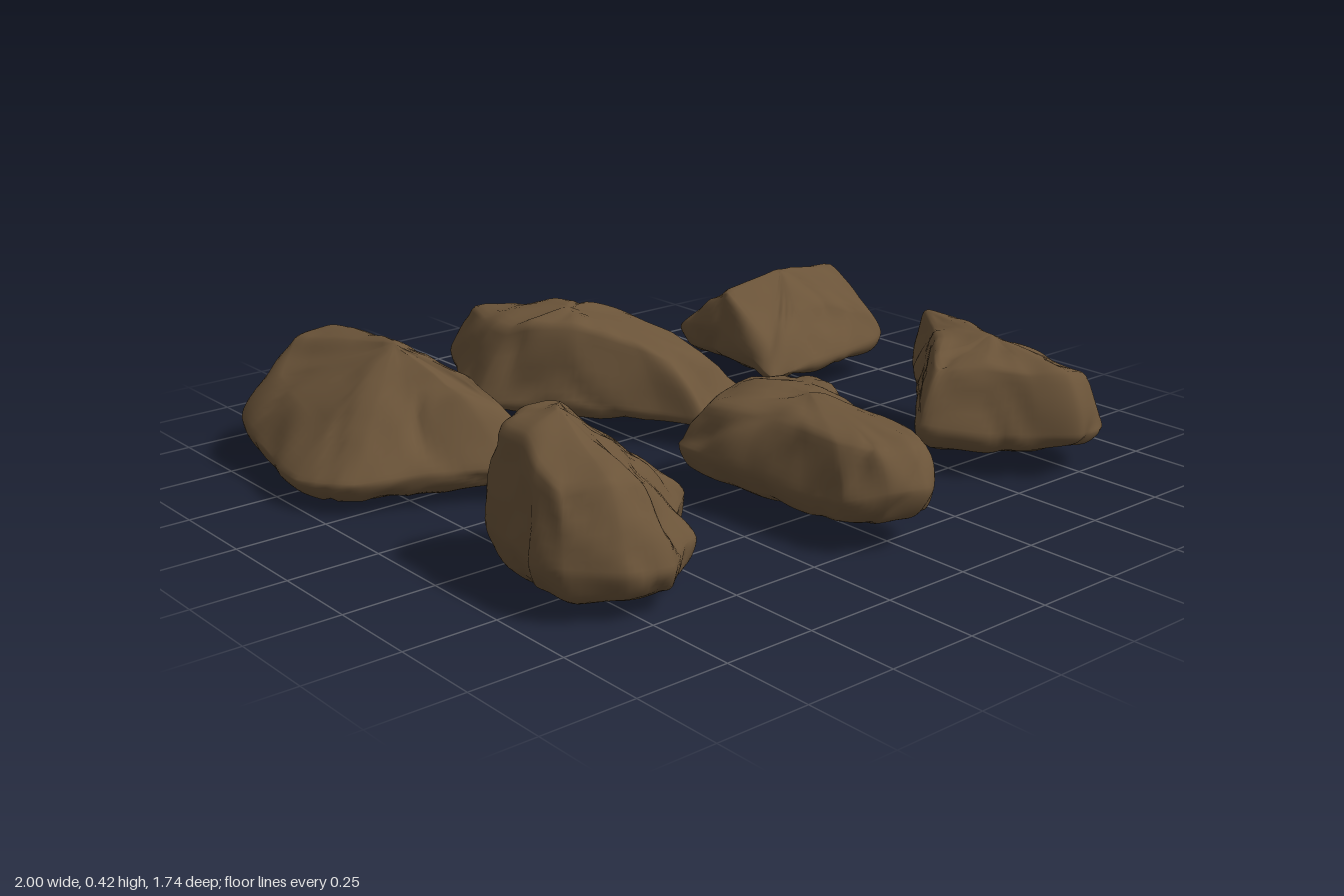
import * as THREE from 'three';

const AROUND = 110, UP = 36;
const earthBrown = new THREE.MeshStandardMaterial({ color: 0x6b5439 });
earthBrown.name = 'earthBrown';

// Smooth lumps plus sharp-bottomed creases, used to roughen the stone
function roughness(p, seed) {
  const wave = (f, s) =>
    Math.sin(p.x * f + s + 1.7 * Math.sin(p.z * f * 0.8 + s * 2)) *
    Math.sin(p.y * f * 1.2 + s * 3 + 1.3 * Math.sin(p.x * f * 0.7 + s)) +
    Math.sin(p.z * f * 1.1 - s + p.y * f * 0.6) * 0.6;
  const crease = Math.min(1, Math.abs(wave(13, seed + 4)) * 2.5) - 0.8;
  return wave(12, seed) * 0.006 + wave(29, seed + 2) * 0.004 + crease * 0.008;
}

// A rock is a plan outline with a rim height, a shoulder drawn in towards the peak, and a tucked-in base.
// Each outline row is [x, z, rim height, shoulder reach 0..1, shoulder height], running clockwise from above.
function rock(name, seed, peak, base, rows) {
  const top = new THREE.Vector3(...peak);
  const middle = new THREE.Vector3();
  rows.forEach(r => middle.add(new THREE.Vector3(r[0], base, r[1]).divideScalar(rows.length)));

  const ring = place => new THREE.CatmullRomCurve3(rows.map(place), true, 'catmullrom', 0.3).getPoints(AROUND);
  const inward = (r, to, reach, y) =>
    new THREE.Vector3(to.x + (r[0] - to.x) * reach, y, to.z + (r[1] - to.z) * reach);
  const floor = ring(r => inward(r, middle, 0.62, base + 0.012));
  const tuck = ring(r => inward(r, middle, 0.92, base + (r[2] - base) * 0.4));
  const rim = ring(r => new THREE.Vector3(r[0], r[2], r[1]));
  const shoulder = ring(r => inward(r, top, r[3], r[4]));

  // Skin: base pole, rings, top pole
  const pos = [middle.x, middle.y, middle.z], index = [];
  const columns = [];
  for (let j = 0; j < AROUND; j++) {
    const path = new THREE.CatmullRomCurve3(
      [middle, floor[j], tuck[j], rim[j], shoulder[j], top], false, 'catmullrom', 0.25);
    columns.push(path.getPoints(UP));
  }
  for (let i = 1; i < UP; i++)
    for (let j = 0; j < AROUND; j++) pos.push(...columns[j][i].toArray());
  pos.push(...top.toArray());
  const last = pos.length / 3 - 1;
  const at = (i, j) => 1 + (i - 1) * AROUND + (j % AROUND);
  for (let j = 0; j < AROUND; j++) {
    index.push(0, at(1, j), at(1, j + 1));
    for (let i = 1; i < UP - 1; i++) {
      index.push(at(i, j), at(i + 1, j), at(i, j + 1));
      index.push(at(i + 1, j), at(i + 1, j + 1), at(i, j + 1));
    }
    index.push(at(UP - 1, j), last, at(UP - 1, j + 1));
  }
  const geo = new THREE.BufferGeometry();
  geo.setAttribute('position', new THREE.Float32BufferAttribute(pos, 3));
  geo.setIndex(index);
  geo.computeVertexNormals();

  // Roughen along the normals
  const P = geo.attributes.position, N = geo.attributes.normal;
  const p = new THREE.Vector3(), n = new THREE.Vector3();
  for (let i = 0; i < P.count; i++) {
    p.fromBufferAttribute(P, i);
    n.fromBufferAttribute(N, i);
    p.addScaledVector(n, roughness(p, seed));
    P.setXYZ(i, THREE.MathUtils.clamp(p.x, -1, 1), Math.max(0, p.y), p.z);
  }
  geo.computeVertexNormals();
  const mesh = new THREE.Mesh(geo, earthBrown);
  mesh.name = name;
  return mesh;
}

export function createModel() {
  const group = new THREE.Group();
  group.name = 'rocks';
  group.add(
    // Long ridged boulder
    rock('ridgedRock', 1, [-0.67, 0.375, -0.42], 0.01, [
      [-0.78, -0.87, 0.2, 0.8, 0.33], [-0.64, -0.84, 0.22, 0.82, 0.35], [-0.58, -0.7, 0.19, 0.72, 0.33],
      [-0.56, -0.52, 0.17, 0.6, 0.34], [-0.5, -0.38, 0.15, 0.55, 0.33], [-0.45, -0.12, 0.12, 0.6, 0.29],
      [-0.45, -0.04, 0.1, 0.65, 0.24], [-0.56, -0.06, 0.1, 0.6, 0.27], [-0.74, -0.16, 0.1, 0.6, 0.24],
      [-0.92, -0.24, 0.09, 0.7, 0.18], [-1, -0.4, 0.08, 0.7, 0.18], [-0.97, -0.62, 0.1, 0.7, 0.22],
      [-0.92, -0.8, 0.14, 0.75, 0.26]]),
    // Diagonal slab with a broad flat top
    rock('longRock', 2, [-0.05, 0.355, -0.48], 0.05, [
      [-0.2, -0.85, 0.18, 0.8, 0.31], [-0.13, -0.79, 0.19, 0.78, 0.32], [0, -0.63, 0.17, 0.85, 0.335],
      [0.12, -0.48, 0.15, 0.75, 0.335], [0.21, -0.35, 0.12, 0.75, 0.29], [0.31, -0.22, 0.1, 0.68, 0.26],
      [0.31, -0.1, 0.09, 0.7, 0.24], [0.19, -0.08, 0.09, 0.72, 0.25], [0.1, -0.05, 0.09, 0.72, 0.25],
      [0.02, -0.16, 0.1, 0.72, 0.28], [-0.13, -0.33, 0.12, 0.72, 0.325], [-0.25, -0.47, 0.11, 0.7, 0.32],
      [-0.33, -0.56, 0.1, 0.62, 0.3], [-0.31, -0.66, 0.13, 0.68, 0.3], [-0.26, -0.75, 0.16, 0.75, 0.31]]),
    // Wedge with a straight crest
    rock('wedgeRock', 3, [0.73, 0.34, -0.43], 0.06, [
      [0.55, -0.67, 0.14, 0.6, 0.25], [0.72, -0.69, 0.13, 0.6, 0.25], [0.88, -0.67, 0.14, 0.6, 0.26],
      [0.93, -0.55, 0.2, 0.85, 0.27], [0.97, -0.42, 0.22, 0.9, 0.32], [0.99, -0.24, 0.13, 0.85, 0.2],
      [0.85, -0.22, 0.11, 0.6, 0.24], [0.65, -0.2, 0.11, 0.6, 0.24], [0.48, -0.19, 0.1, 0.8, 0.17],
      [0.48, -0.42, 0.2, 0.9, 0.31], [0.49, -0.58, 0.18, 0.8, 0.25]]),
    // Tall rock with a ridge running forward along its right side
    rock('peakedRock', 4, [-0.74, 0.43, 0.4], 0.01, [
      [-0.88, 0.28, 0.15, 0.7, 0.37], [-0.78, 0.26, 0.2, 0.75, 0.4], [-0.64, 0.28, 0.2, 0.78, 0.4],
      [-0.52, 0.29, 0.18, 0.7, 0.32], [-0.42, 0.33, 0.17, 0.7, 0.26], [-0.4, 0.46, 0.15, 0.7, 0.24],
      [-0.49, 0.53, 0.14, 0.6, 0.28], [-0.52, 0.63, 0.12, 0.65, 0.25], [-0.61, 0.68, 0.12, 0.7, 0.27],
      [-0.68, 0.74, 0.12, 0.7, 0.3], [-0.8, 0.72, 0.13, 0.75, 0.32], [-0.91, 0.63, 0.14, 0.8, 0.31],
      [-0.93, 0.53, 0.13, 0.7, 0.34], [-0.9, 0.42, 0.14, 0.65, 0.37]]),
    // Tapered block
    rock('taperedRock', 5, [0.03, 0.31, 0.43], 0.04, [
      [-0.19, 0.17, 0.15, 0.75, 0.26], [0, 0.13, 0.16, 0.8, 0.28], [0.12, 0.17, 0.15, 0.8, 0.28],
      [0.25, 0.19, 0.16, 0.75, 0.27], [0.22, 0.36, 0.15, 0.68, 0.28], [0.16, 0.52, 0.14, 0.65, 0.28],
      [0.12, 0.66, 0.14, 0.75, 0.28], [0.12, 0.74, 0.13, 0.78, 0.27], [0.08, 0.83, 0.15, 0.85, 0.26],
      [0.01, 0.86, 0.17, 0.85, 0.26], [-0.08, 0.83, 0.17, 0.85, 0.26], [-0.15, 0.74, 0.14, 0.75, 0.27],
      [-0.16, 0.6, 0.13, 0.7, 0.27], [-0.17, 0.42, 0.14, 0.7, 0.27], [-0.2, 0.28, 0.15, 0.7, 0.26]]),
    // Three-cornered rock with a steep front
    rock('corneredRock', 6, [0.7, 0.33, 0.46], 0.05, [
      [0.77, 0.12, 0.23, 0.88, 0.33], [0.81, 0.18, 0.2, 0.78, 0.32], [0.83, 0.33, 0.15, 0.6, 0.3],
      [0.87, 0.44, 0.14, 0.6, 0.28], [0.9, 0.6, 0.13, 0.65, 0.27], [0.84, 0.76, 0.12, 0.78, 0.26],
      [0.7, 0.79, 0.13, 0.8, 0.29], [0.6, 0.72, 0.13, 0.78, 0.29], [0.5, 0.61, 0.13, 0.75, 0.3],
      [0.39, 0.49, 0.15, 0.75, 0.29], [0.45, 0.42, 0.16, 0.78, 0.31], [0.55, 0.33, 0.17, 0.72, 0.32],
      [0.67, 0.2, 0.21, 0.75, 0.32]]));
  return group;
}
